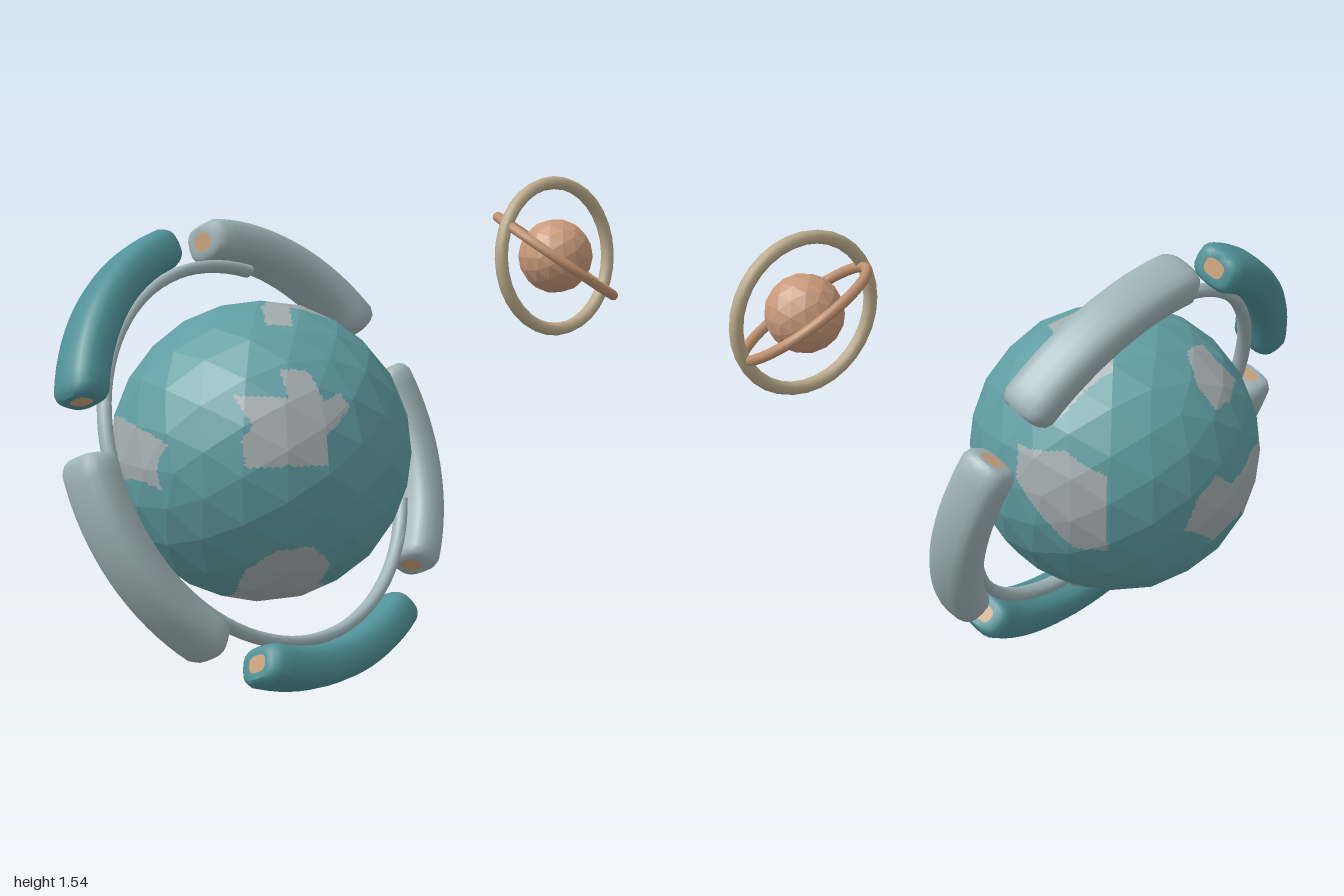
import * as THREE from 'three';
import { toCreasedNormals } from 'three/addons/utils/BufferGeometryUtils.js';

const mat = (name, color, flat = false) =>
  Object.assign(new THREE.MeshStandardMaterial({ color, flatShading: flat }), { name });
const DEG = Math.PI / 180;

// Sweeps a rounded section round a circle in XY; stations are [angle, scale]
function sweep(R, halfRadial, halfAxial, power, stations, sides = 20) {
  const pos = [], idx = [];
  const soft = (v) => Math.sign(v) * Math.abs(v) ** power;
  stations.forEach(([t, s], i) => {
    for (let j = 0; j < sides; j++) {
      const p = (j / sides) * Math.PI * 2;
      const r = R + soft(Math.cos(p)) * halfRadial * s;
      pos.push(r * Math.cos(t), r * Math.sin(t), soft(Math.sin(p)) * halfAxial * s);
      if (!i) continue;
      const k = (j + 1) % sides, a = (i - 1) * sides, b = i * sides;
      idx.push(a + j, b + j, a + k, a + k, b + j, b + k);
    }
  });
  const g = new THREE.BufferGeometry();
  g.setAttribute('position', new THREE.Float32BufferAttribute(pos, 3));
  g.setIndex(idx);
  return toCreasedNormals(g, 0.75);
}

// Land outlines: azimuth and elevation of the facing direction, then [right, up] in planet radii
const LANDS = [
  [0, 0, [[-.21, .65], [-.03, .63], [.02, .45], [.15, .49], [.21, .40], [0, .24], [0, .05], [-.26, .07],
    [-.51, .06], [-.52, .23], [-.45, .32], [-.52, .50], [-.21, .48]]],
  [0, 0, [[-.42, -.64], [-.28, -.50], [-.05, -.48], [.12, -.62], [.15, -.81], [.40, -.92], [0, -1.02],
    [-.3, -1], [-.4, -.77]]],
  [0, 90, [[.33, .53], [.70, .50], [.62, .22], [.47, 0], [.41, -.22], [.13, -.18], [.01, -.47], [-.15, -.41],
    [-.07, -.16], [.07, .02], [.19, .27]]],
  [0, 90, [[-.30, .82], [-.20, .73], [-.24, .53], [-.45, .39], [-.50, .50], [-.64, .53], [-.47, .73]]],
  [136, -19, [[-.45, .55], [-.1, .61], [.19, .49], [.19, -.05], [-.04, -.05], [-.45, .36]]],
  [136, -19, [[-.36, -.6], [-.1, -.6], [.05, -.75], [0, -.95], [-.3, -.85]]],
  [215, 25, [[-.53, -.39], [-.38, -.30], [-.22, -.43], [.1, -.30], [.35, -.30], [.54, -.11], [.98, .11],
    [.98, -.18], [.61, -.56], [.23, -.77], [0, -.68], [-.28, -.75], [-.57, -.56]]],
].map(([az, el, outline]) => {
  const a = az * DEG, e = el * DEG;
  return {
    outline,
    right: new THREE.Vector3(Math.cos(a), 0, -Math.sin(a)),
    up: new THREE.Vector3(-Math.sin(e) * Math.sin(a), Math.cos(e), -Math.sin(e) * Math.cos(a)),
    out: new THREE.Vector3(Math.cos(e) * Math.sin(a), Math.sin(e), Math.cos(e) * Math.cos(a)),
  };
});

function isLand(dir) {
  return LANDS.some(({ outline, right, up, out }) => {
    if (dir.dot(out) < 0) return false;
    const x = dir.dot(right), y = dir.dot(up);
    let inside = false;
    outline.forEach(([x1, y1], i) => {
      const [x2, y2] = outline[(i + 1) % outline.length];
      if ((y1 > y) !== (y2 > y) && x < x1 + ((y - y1) * (x2 - x1)) / (y2 - y1)) inside = !inside;
    });
    return inside;
  });
}

// Faceted globe whose flat faces are divided along the coastlines
function planetGeometries(radius, n = 12) {
  const src = new THREE.IcosahedronGeometry(radius, 3).getAttribute('position');
  const sea = [], land = [];
  const V = (i) => new THREE.Vector3().fromBufferAttribute(src, i);
  const push = (list, tri) => tri.forEach((p) => list.push(p.x, p.y, p.z));
  for (let f = 0; f < src.count; f += 3) {
    const a = V(f), b = V(f + 1), c = V(f + 2);
    const at = (i, j) => a.clone().addScaledVector(b.clone().sub(a), i / n).addScaledVector(c.clone().sub(a), j / n);
    const cells = [];
    for (let i = 0; i < n; i++) {
      for (let j = 0; j < n - i; j++) {
        cells.push([at(i, j), at(i + 1, j), at(i, j + 1)]);
        if (j < n - i - 1) cells.push([at(i + 1, j), at(i + 1, j + 1), at(i, j + 1)]);
      }
    }
    const flags = cells.map(([p, q, r]) => isLand(p.clone().add(q).add(r).normalize()));
    if (flags.every((v) => v === flags[0])) push(flags[0] ? land : sea, [a, b, c]);
    else cells.forEach((cell, i) => push(flags[i] ? land : sea, cell));
  }
  return [sea, land].map((list) => {
    const g = new THREE.BufferGeometry();
    g.setAttribute('position', new THREE.Float32BufferAttribute(list, 3));
    g.computeVertexNormals();
    return g;
  });
}

export function createModel() {
  const model = new THREE.Group();
  const seaTeal = mat('seaTeal', 0x5f9da2, true);
  const landGrey = mat('landGrey', 0xa3adae, true);
  const barTeal = mat('barTeal', 0x4f9197);
  const barGrey = mat('barGrey', 0x9fb3b7);
  const capTan = mat('capTan', 0xc9a27a);
  const moonTan = mat('moonTan', 0xc8997a, true);
  const ringCopper = mat('ringCopper', 0xc0916f);
  const ringSand = mat('ringSand', 0xbcac8c);
  const add = (parent, name, geometry, material) => {
    const m = new THREE.Mesh(geometry, material);
    m.name = name;
    parent.add(m);
    return m;
  };

  // Planet
  const planet = new THREE.Group();
  planet.name = 'planet';
  planet.position.set(-0.262, 0.732, 0);
  model.add(planet);
  const [sea, land] = planetGeometries(0.468);
  add(planet, 'sea', sea, seaTeal);
  add(planet, 'land', land, landGrey);

  // Tilted orbit frame around the planet
  const orbit = new THREE.Group();
  orbit.name = 'orbit';
  const n = new THREE.Vector3(0.323, 0.395, 0.86).normalize();
  const u = new THREE.Vector3(1, 0, 0).addScaledVector(n, -n.x).normalize();
  orbit.quaternion.setFromRotationMatrix(new THREE.Matrix4().makeBasis(u, n.clone().cross(u), n));
  planet.add(orbit);

  // Five outer bars with bevelled ends and small tan end caps
  const R = 0.69, hr = 0.065, ha = 0.086, half = 29 * DEG;
  for (let i = 0; i < 5; i++) {
    const mid = (67.7 - 72 * i) * DEG;
    const t0 = mid - half, t1 = mid + half;
    const bevel = [[0, 0.42], [0, 0.72], [0.014, 0.88], [0.045, 1]];
    const stations = bevel.map(([d, s]) => [t0 + d, s]);
    for (let k = 1; k < 16; k++) stations.push([t0 + 0.045 + (k / 16) * (t1 - t0 - 0.09), 1]);
    bevel.reverse().forEach(([d, s]) => stations.push([t1 - d, s]));
    add(orbit, 'outerBar', sweep(R, hr, ha, 0.7, stations), i === 2 || i === 4 ? barTeal : barGrey);
    add(orbit, 'barStartCap', sweep(R, hr, ha, 0.7, [[t0, 0], [t0, 0.42]]), capTan);
    add(orbit, 'barEndCap', sweep(R, hr, ha, 0.7, [[t1, 0.42], [t1, 0]]), capTan);
  }

  // Thin open inner ring
  const arc = [[81 * DEG, 0]];
  for (let k = 0; k <= 64; k++) arc.push([(81 + (264 * k) / 64) * DEG, 1]);
  arc.push([345 * DEG, 0]);
  add(orbit, 'innerRing', sweep(0.608, 0.019, 0.026, 0.9, arc, 12), barGrey);

  // Moon with two crossed rings
  const moon = new THREE.Group();
  moon.name = 'moon';
  moon.position.set(0.74, 1.309, 0.112);
  model.add(moon);
  add(moon, 'moonBall', new THREE.IcosahedronGeometry(0.12, 2), moonTan);
  const zAxis = new THREE.Vector3(0, 0, 1);
  const hoop = (name, r, tube, normal, material) =>
    add(moon, name, new THREE.TorusGeometry(r, tube, 10, 32), material)
      .quaternion.setFromUnitVectors(zAxis, new THREE.Vector3(...normal).normalize());
  hoop('uprightRing', 0.236, 0.021, [0.19, 0.07, 1], ringSand);
  hoop('tiltedRing', 0.226, 0.016, [0.49, 0.83, 0.26], ringCopper);

  return model;
}
